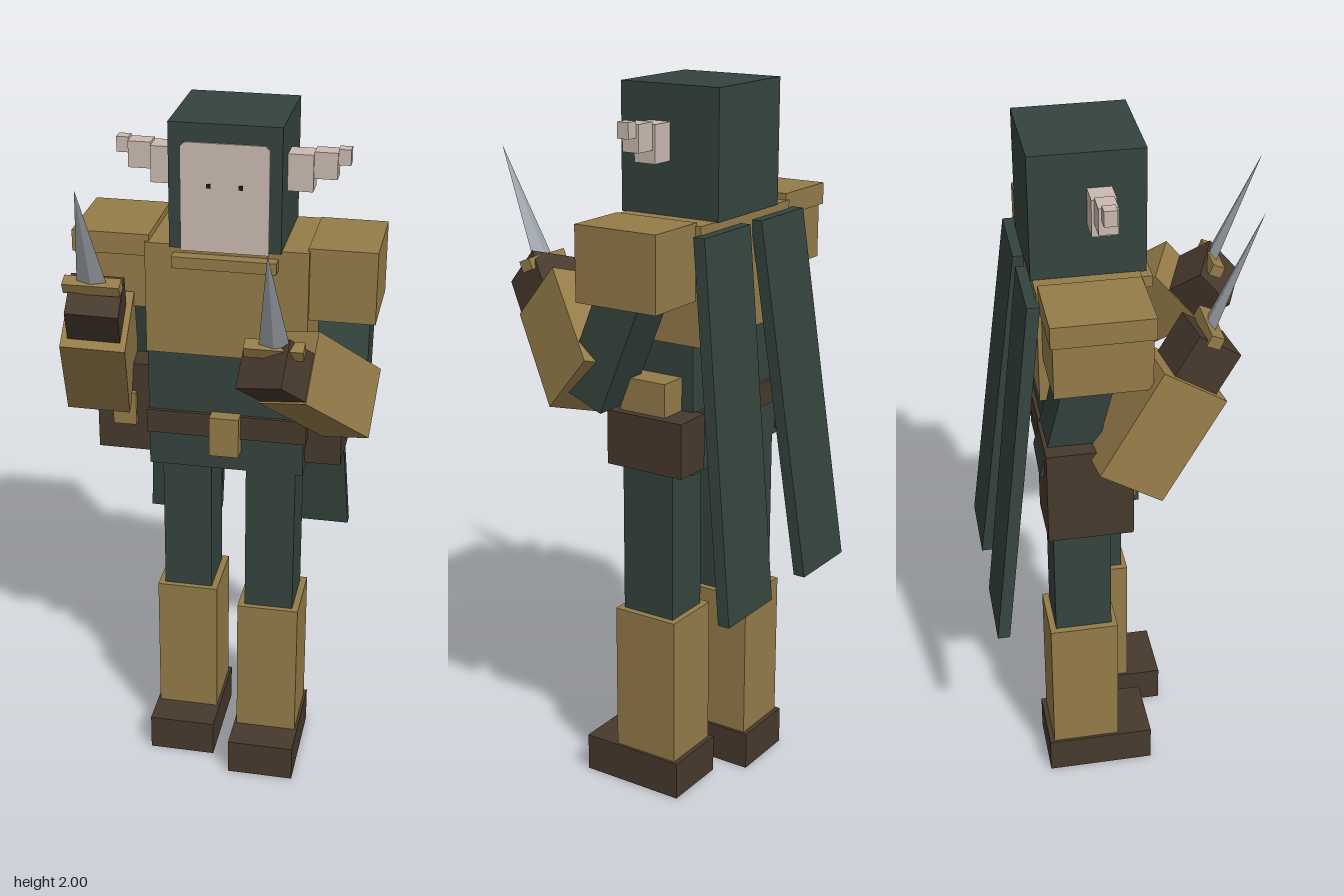
import * as THREE from 'three';

const mat = (name, color) => {
  const m = new THREE.MeshStandardMaterial({ color, flatShading: true });
  m.name = name;
  return m;
};

export function createModel() {
  const model = new THREE.Group();
  model.name = 'hoodedFighter';
  const green = mat('darkGreenCloth', 0x35443e);
  const gold = mat('tanLeather', 0x957c49);
  const brown = mat('darkBrownLeather', 0x47392d);
  const skin = mat('paleSkin', 0xcbbab0);
  const steel = mat('steel', 0xa3a9b0);
  const dark = mat('eyeDark', 0x1c1816);
  const V = (a) => new THREE.Vector3(...a);

  const add = (name, geo, m, parent = model) => {
    const mesh = new THREE.Mesh(geo, m);
    mesh.name = name;
    parent.add(mesh);
    return mesh;
  };
  // Box given by its limits on each axis
  const box = (name, m, x0, x1, y0, y1, z0, z1) => {
    const mesh = add(name, new THREE.BoxGeometry(x1 - x0, y1 - y0, z1 - z0), m);
    mesh.position.set((x0 + x1) / 2, (y0 + y1) / 2, (z0 + z1) / 2);
    return mesh;
  };
  // Turn a mesh so its y runs along p->q and its x leans to the hint
  const orient = (mesh, p, q, hint) => {
    const y = V(q).sub(V(p)).normalize();
    const x = V(hint).addScaledVector(y, -V(hint).dot(y)).normalize();
    const z = new THREE.Vector3().crossVectors(x, y);
    mesh.quaternion.setFromRotationMatrix(new THREE.Matrix4().makeBasis(x, y, z));
    mesh.position.copy(V(p)).add(V(q)).multiplyScalar(0.5);
    return mesh;
  };
  const limb = (name, m, p, q, w, d, hint = [1, 0, 0]) =>
    orient(add(name, new THREE.BoxGeometry(w, V(p).distanceTo(V(q)), d), m), p, q, hint);

  // Head, face plate and eyes
  const cx = 0.022;
  box('hood', green, cx - 0.15, cx + 0.15, 1.66, 2, -0.265, 0.035);
  const face = new THREE.Shape();
  [[-0.118, 1.655], [0.118, 1.655], [0.118, 1.938], [0.106, 1.95], [-0.106, 1.95], [-0.118, 1.938]]
    .forEach(([x, y], i) => (i ? face.lineTo(x, y) : face.moveTo(x, y)));
  add('face', new THREE.ExtrudeGeometry(face, { depth: 0.006, bevelEnabled: false }), skin)
    .position.set(cx, 0, 0.034);
  for (const s of [-1, 1]) {
    const e = cx + s * 0.043;
    box('eye', dark, e - 0.006, e + 0.006, 1.83, 1.842, 0.038, 0.042);
    // Stepped pointed ear
    [[0.148, 0.218, 1.805, 1.905, 0.032], [0.218, 0.28, 1.84, 1.912, 0.025], [0.28, 0.313, 1.878, 1.92, 0.017]]
      .forEach(([a, b, y0, y1, r]) => {
        const xs = [cx + s * a, cx + s * b].sort((m, n) => m - n);
        box('ear', skin, xs[0], xs[1], y0, y1, -0.085 - r, -0.085 + r);
      });
  }

  // Torso, collar and belt
  box('chest', gold, -0.2, 0.245, 1.345, 1.662, -0.26, 0.018);
  box('collar', gold, -0.12, 0.163, 1.608, 1.64, 0, 0.053);
  box('waist', green, -0.2, 0.24, 0.99, 1.345, -0.235, 0.004);
  box('belt', brown, -0.205, 0.248, 1.093, 1.163, -0.245, 0.014);
  box('buckle', gold, -0.02, 0.063, 1.05, 1.168, 0, 0.045);
  box('rightPouch', brown, -0.36, -0.19, 1.005, 1.275, -0.268, -0.04);
  box('rightPouchTab', gold, -0.312, -0.245, 1.09, 1.19, -0.05, -0.025);
  box('leftPouch', brown, 0.23, 0.342, 1.015, 1.165, -0.265, -0.032);
  box('leftPouchRoll', gold, 0.22, 0.32, 1.16, 1.256, -0.2, -0.06);

  // Legs, the left one a step ahead
  for (const [side, x, z] of [['left', 0.149, 0], ['right', -0.108, -0.075]]) {
    box(side + 'Thigh', green, x - 0.071, x + 0.071, 0.53, 1, z - 0.158, z + 0.004);
    box(side + 'Boot', gold, x - 0.09, x + 0.09, 0.1, 0.54, z - 0.176, z + 0.02);
    box(side + 'Foot', brown, x - 0.098, x + 0.098, 0, 0.11, z - 0.19, z + 0.12);
  }

  // Shoulder pads
  box('leftShoulderPad', gold, 0.24, 0.425, 1.467, 1.67, -0.244, 0.003);
  box('rightShoulderPad', gold, -0.39, -0.2, 1.47, 1.66, -0.248, 0.004);
  box('rightShoulderPlate', gold, -0.402, -0.19, 1.62, 1.68, -0.255, 0.01);

  // Arms with daggers
  const arms = [
    { side: 'left', shoulder: [0.335, 1.55, -0.14], upperEnd: [0.342, 1.2, 0], elbow: [0.37, 1.23, 0],
      wrist: [0.225, 1.42, 0.21], hint: [0.125, 0.04, 0.06], w: 0.148, palm: [0.2, 1.43, 0.262],
      hilt: [0.198, 1.5, 0.282], tip: [0.198, 1.805, 0.415] },
    { side: 'right', shoulder: [-0.27, 1.55, -0.13], upperEnd: [-0.235, 1.17, -0.215], elbow: [-0.35, 1.2, -0.07],
      wrist: [-0.315, 1.465, 0.1], hint: [1, 0, -0.07], w: 0.176, palm: [-0.308, 1.51, 0.135],
      hilt: [-0.308, 1.585, 0.16], tip: [-0.308, 1.89, 0.29] },
  ];
  for (const a of arms) {
    limb(a.side + 'UpperArm', green, a.shoulder, a.upperEnd, 0.14, 0.13);
    limb(a.side + 'Forearm', gold, a.elbow, a.wrist, a.w, 0.196, a.hint);
    const dir = V(a.wrist).sub(V(a.elbow)).normalize();
    const ends = [-0.062, 0.062].map((t) => V(a.palm).addScaledVector(dir, t).toArray());
    limb(a.side + 'Hand', brown, ends[0], ends[1], 0.142, 0.13, a.hint);
    // Guard, grip and four-sided blade
    const up = V(a.tip).sub(V(a.hilt)).normalize();
    const along = (t) => V(a.hilt).addScaledVector(up, t).toArray();
    limb(a.side + 'DaggerGuard', gold, along(-0.016), along(0.016), 0.155, 0.036);
    limb(a.side + 'DaggerGrip', brown, along(-0.13), along(-0.01), 0.04, 0.03);
    const length = V(a.tip).distanceTo(V(a.hilt));
    const blade = new THREE.ConeGeometry(0.042, length, 4).scale(1, 1, 0.28);
    orient(add(a.side + 'DaggerBlade', blade, steel), a.hilt, a.tip, [1, 0, 0]);
  }

  // Split cape: slabs sheared outward and backward toward the hem
  for (const s of [-1, 1]) {
    const geo = new THREE.BoxGeometry(0.222, 1.012, 0.034);
    const p = geo.attributes.position;
    for (let i = 0; i < p.count; i++) {
      const t = 0.5 - p.getY(i) / 1.012;
      p.setX(i, p.getX(i) + s * (0.139 + 0.062 * t));
      p.setZ(i, p.getZ(i) - 0.271 - 0.124 * t);
    }
    geo.computeVertexNormals();
    add(s > 0 ? 'leftCapePanel' : 'rightCapePanel', geo, green).position.set(cx, 1.133, 0);
  }
  return model;
}
